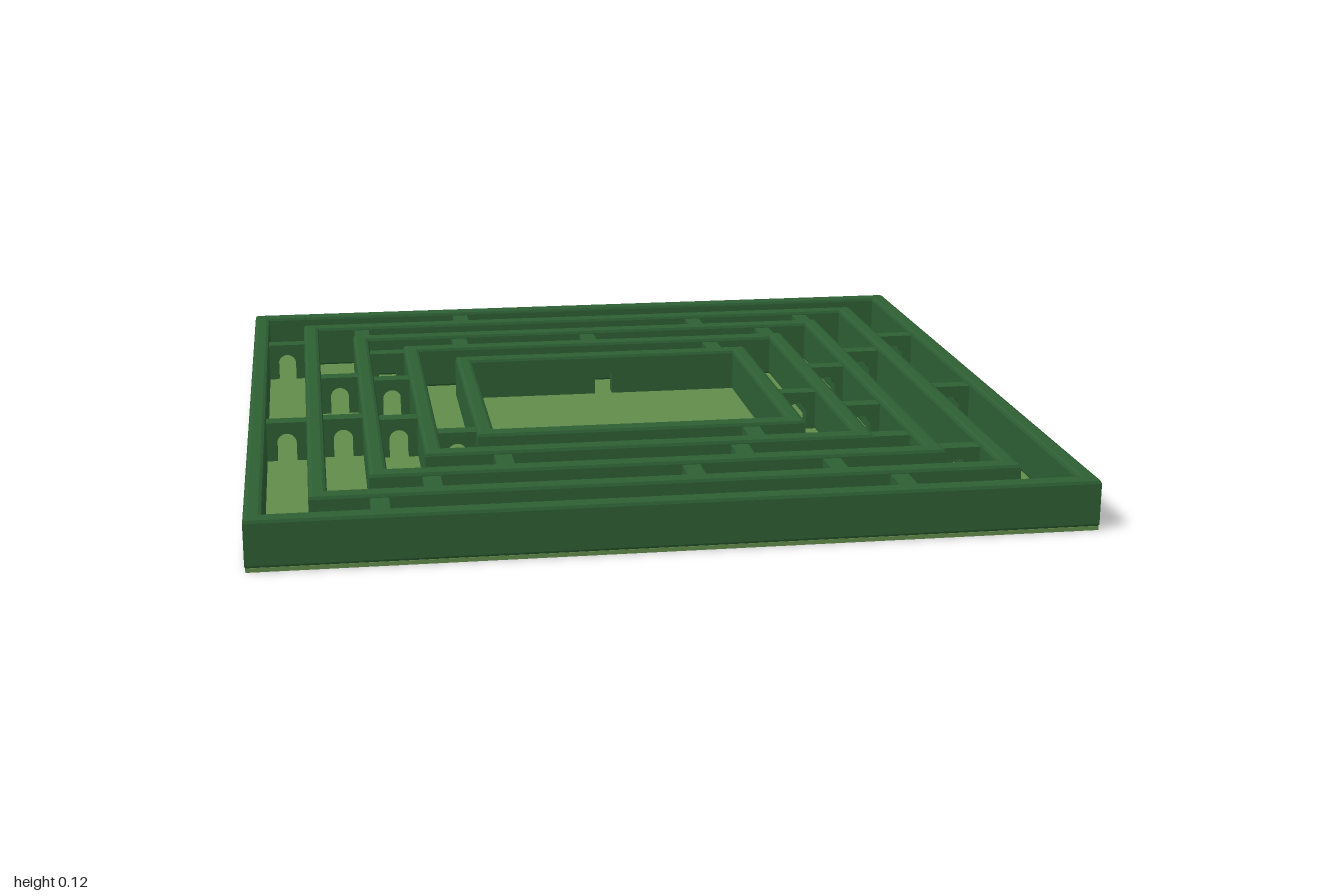
import * as THREE from 'three';

const hedgeMat = new THREE.MeshStandardMaterial({ color: 0x2d5e33 });
const grassMat = new THREE.MeshStandardMaterial({ color: 0x628c4b });

const FLOOR = 0.008, TOP = 0.125, WALL = 0.044;

// Half width and half depth of the concentric hedges, outside to inside
const RINGS = [[1, 0.99], [0.853, 0.84], [0.708, 0.692], [0.566, 0.542], [0.424, 0.393]];

// Cross hedges per corridor: x for back and front, z for left and right
const GATES = [
  { back: [-0.37], front: [-0.69, 0.55], xMinus: [-0.665, 0.16], xPlus: [-0.51, 0.07] },
  { back: [-0.68, 0.34, 0.68], front: [-0.56, 0.07, 0.42], xMinus: [-0.27, 0.145], xPlus: [-0.345, 0.63] },
  { back: [-0.395, -0.01, 0.53], front: [-0.375, 0.22], xMinus: [-0.52, -0.225, 0.17], xPlus: [-0.185, 0.215, 0.505] },
  { back: [0.34], front: [0.28], xMinus: [0.315], xPlus: [0.07] },
];

function add(group, name, geometry, material = hedgeMat) {
  const mesh = new THREE.Mesh(geometry, material);
  mesh.name = name;
  group.add(mesh);
  return mesh;
}

function rectangle(Type, w, d) {
  const r = new Type();
  r.moveTo(-w, -d).lineTo(w, -d).lineTo(w, d).lineTo(-w, d).closePath();
  return r;
}

// Rectangular hedge ring with softened edges, from y0 to y1
function frameGeometry(w, d, y0, y1) {
  const b = 0.01;
  const shape = rectangle(THREE.Shape, w - b, d - b);
  shape.holes.push(rectangle(THREE.Path, w - WALL + b, d - WALL + b));
  const g = new THREE.ExtrudeGeometry(shape, {
    depth: y1 - y0 - 2 * b, bevelEnabled: true, bevelSize: b, bevelThickness: b, bevelSegments: 2,
  });
  return g.rotateX(-Math.PI / 2).translate(0, y0 + b, 0);
}

// Upright hedge panel along x, with an optional arched opening in the middle
function panelGeometry(length, height, opening) {
  const h = length / 2, r = opening / 2, spring = 0.05;
  const s = new THREE.Shape();
  s.moveTo(-h, 0);
  if (opening) {
    s.lineTo(-r, 0).lineTo(-r, spring);
    s.absarc(0, spring, r, Math.PI, 0, true);
    s.lineTo(r, 0);
  }
  s.lineTo(h, 0).lineTo(h, height).lineTo(-h, height).closePath();
  const g = new THREE.ExtrudeGeometry(s, { depth: WALL, bevelEnabled: false, curveSegments: 8 });
  return g.translate(0, FLOOR, -WALL / 2);
}

export function createModel() {
  const model = new THREE.Group();
  model.name = 'hedgeMaze';

  // Lawn under the whole maze
  add(model, 'lawn', new THREE.BoxGeometry(1.996, 0.01, 1.98).translate(0, 0.005, 0), grassMat);

  // Closed hedge rings
  RINGS.slice(0, 4).forEach(([w, d], i) =>
    add(model, `hedgeRing${i + 1}`, frameGeometry(w, d, FLOOR - 0.003, TOP)));

  // Inner court: panels with doorways front and back, topped by a soft-edged cap
  const court = new THREE.Group();
  court.name = 'innerCourt';
  const [cw, cd] = RINGS[4];
  add(court, 'courtCap', frameGeometry(cw, cd, 0.08, TOP));
  for (const s of [-1, 1]) {
    add(court, 'courtDoorWall', panelGeometry(2 * cw, 0.085, 0.05)).position.z = s * (cd - WALL / 2);
    const side = add(court, 'courtSideWall', panelGeometry(2 * (cd - WALL), 0.085, 0));
    side.rotation.y = Math.PI / 2;
    side.position.x = s * (cw - WALL / 2);
  }
  model.add(court);

  // Arched cross hedges between neighbouring rings
  const gates = new THREE.Group();
  gates.name = 'archedGates';
  GATES.forEach((corridor, i) => {
    const [ow, od] = RINGS[i], [iw, id] = RINGS[i + 1];
    const spanX = ow - WALL - iw, spanZ = od - WALL - id;
    const midX = iw + spanX / 2, midZ = id + spanZ / 2;
    const gate = (span, x, z, turned) => {
      const m = add(gates, 'gate', panelGeometry(span + 0.02, 0.105, 0.05));
      m.position.set(x, 0, z);
      if (turned) m.rotation.y = Math.PI / 2;
    };
    corridor.back.forEach((x) => gate(spanZ, x, -midZ, true));
    corridor.front.forEach((x) => gate(spanZ, x, midZ, true));
    corridor.xMinus.forEach((z) => gate(spanX, -midX, z, false));
    corridor.xPlus.forEach((z) => gate(spanX, midX, z, false));
  });
  model.add(gates);

  return model;
}
